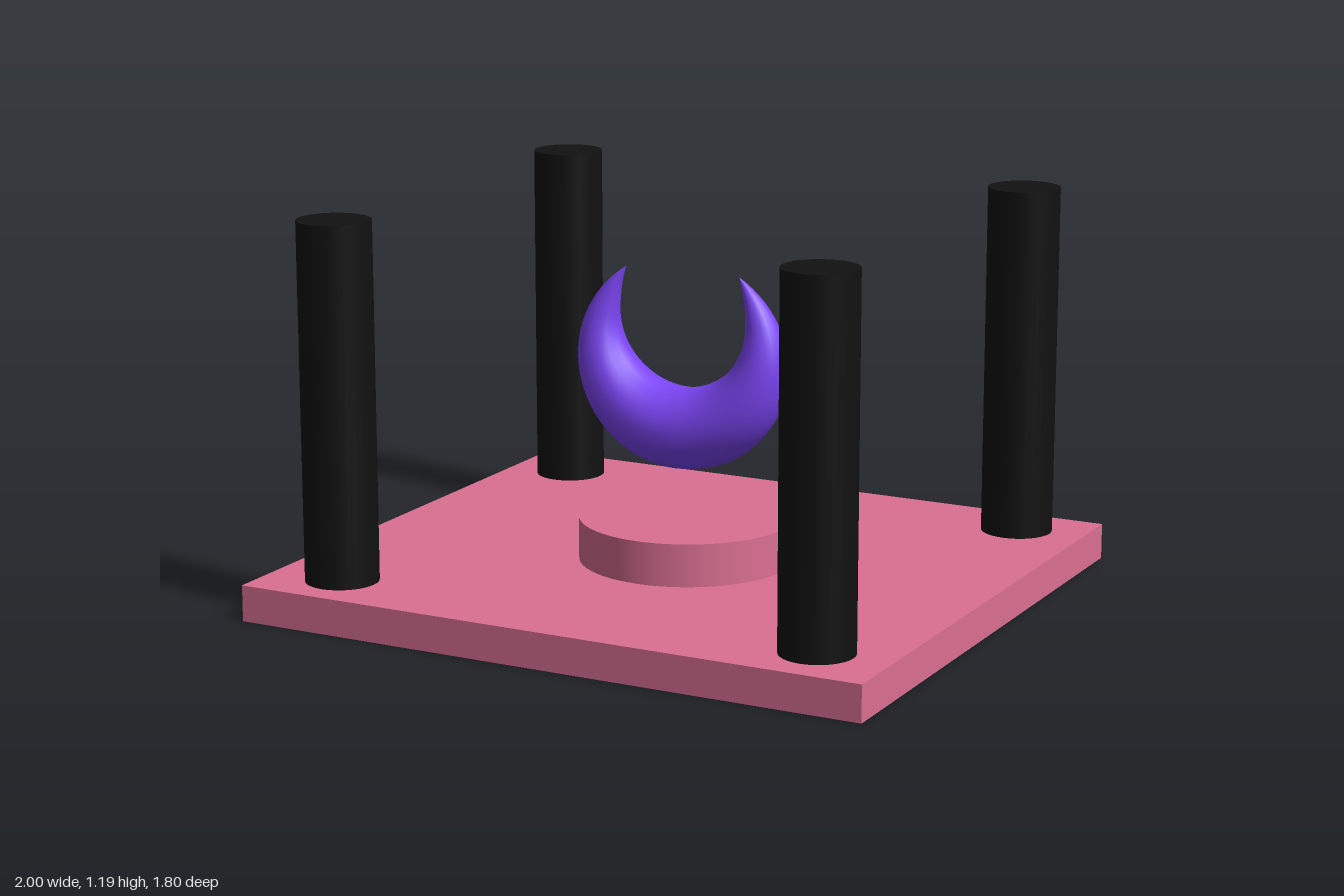
import * as THREE from 'three';

const material = (color) => new THREE.MeshStandardMaterial({ color });

function addPart(group, name, geometry, mat, x, y, z) {
  const mesh = new THREE.Mesh(geometry, mat);
  mesh.name = name;
  mesh.position.set(x, y, z);
  group.add(mesh);
  return mesh;
}

// Crescent: round sections spanning an inner and an outer arc that meet at the tips
function crescentGeometry(rings = 64, sides = 16) {
  const positions = [], index = [];
  for (let i = 0; i <= rings; i++) {
    const t = (i / rings) * 2 - 1;
    const a = t * 2.565, b = t * 2.078;
    const outer = new THREE.Vector2(0.345 * Math.sin(a), 0.72 - (Math.cos(a) > 0 ? 0.33 : 0.323) * Math.cos(a));
    const inner = new THREE.Vector2(0.215 * Math.sin(b), 0.84 - (Math.cos(b) > 0 ? 0.2 : 0.31) * Math.cos(b));
    const mid = outer.clone().add(inner).multiplyScalar(0.5);
    const half = outer.clone().sub(inner).multiplyScalar(0.5);
    const depth = half.length() * 0.98;
    for (let j = 0; j < sides; j++) {
      const s = (j / sides) * Math.PI * 2;
      positions.push(mid.x + half.x * Math.cos(s), mid.y + half.y * Math.cos(s), depth * Math.sin(s));
      if (i < rings) {
        const k = (j + 1) % sides;
        const p = i * sides + j, q = p + sides, r = i * sides + k, u = r + sides;
        index.push(p, q, r, q, u, r);
      }
    }
  }
  const geometry = new THREE.BufferGeometry();
  geometry.setAttribute('position', new THREE.Float32BufferAttribute(positions, 3));
  geometry.setIndex(index);
  geometry.computeVertexNormals();
  return geometry;
}

export function createModel() {
  const model = new THREE.Group();
  model.name = 'crescentShrine';
  const pink = material(0xdb7093);
  const black = material(0x111111);
  const purple = material(0x7c45f5);

  // Floor slab and round plinth
  addPart(model, 'base', new THREE.BoxGeometry(2, 0.11, 1.8), pink, 0, 0.055, 0);
  addPart(model, 'plinth', new THREE.CylinderGeometry(0.328, 0.328, 0.13, 64), pink, 0.018, 0.175, 0.022);

  // Four slightly uneven corner pillars
  const pillar = new THREE.CylinderGeometry(0.11, 0.11, 1.08, 32);
  const corners = [[-0.79, -0.69], [0.785, -0.72], [-0.77, 0.715], [0.775, 0.705]];
  corners.forEach(([x, z], i) => addPart(model, `pillar${i + 1}`, pillar, black, x, 0.65, z));

  // Crescent floating above the plinth
  addPart(model, 'crescent', crescentGeometry(), purple, 0.01, 0, 0.042);
  return model;
}
